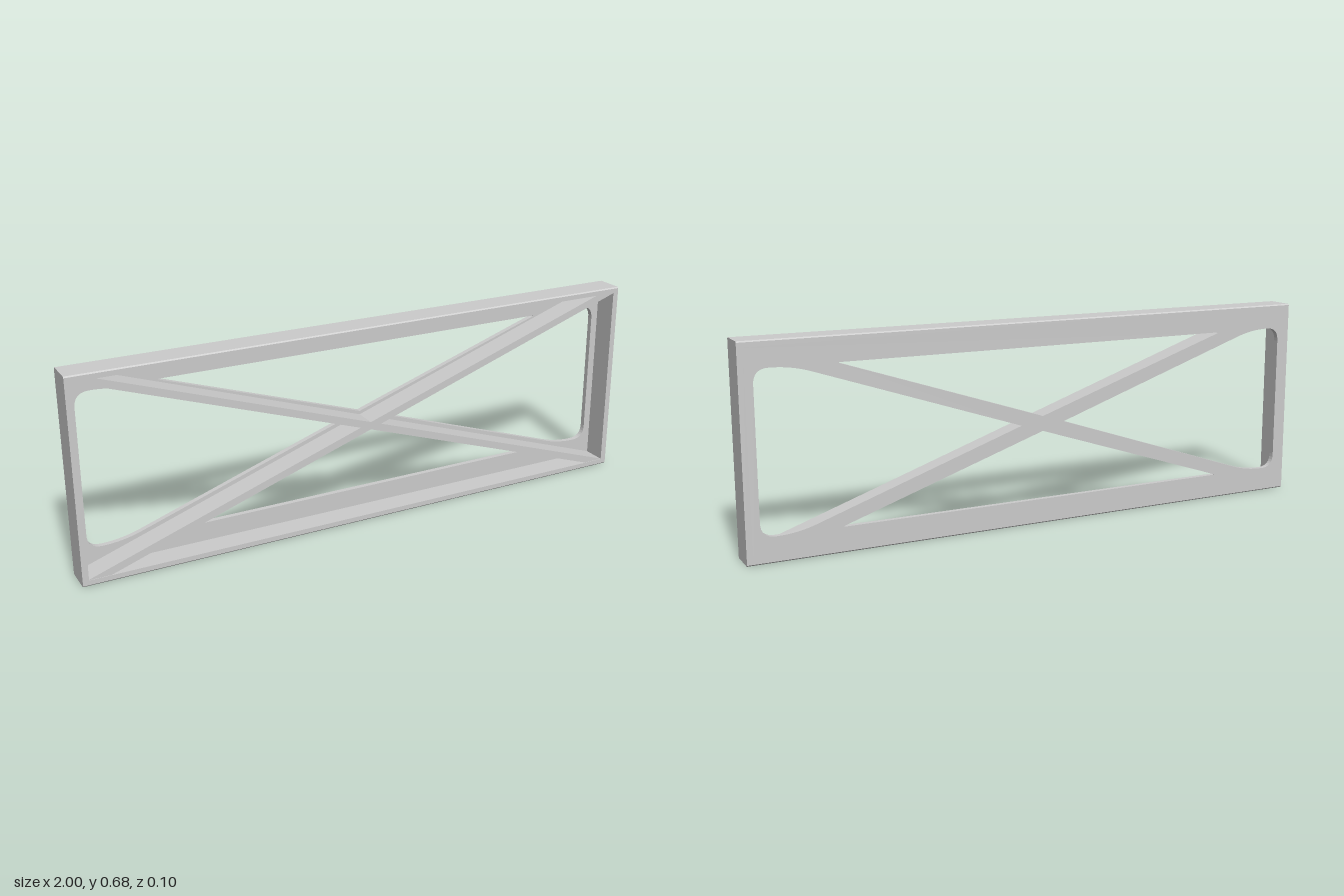
import * as THREE from 'three';

const W = 1, H = 0.683, D = 0.05;      // half width, height, half depth
const RIM = 0.02, PLATE = 0.018;       // rim and back plate thickness
const CY = H / 2;
const material = new THREE.MeshStandardMaterial({ color: 0xcccccc, flatShading: true });

// Closed outline with corners [x, y, trim], each softened by cutting "trim" off both edges
function roundedPath(points, PathType) {
  const path = new PathType();
  const n = points.length;
  const toward = (a, b, t) => {
    const l = Math.hypot(b[0] - a[0], b[1] - a[1]);
    return [a[0] + (b[0] - a[0]) * t / l, a[1] + (b[1] - a[1]) * t / l];
  };
  points.forEach((p, i) => {
    const a = toward(p, points[(i + n - 1) % n], p[2] || 0);
    const b = toward(p, points[(i + 1) % n], p[2] || 0);
    if (i === 0) path.moveTo(...a); else path.lineTo(...a);
    if (p[2]) path.quadraticCurveTo(p[0], p[1], ...b);
  });
  path.closePath();
  return path;
}

function extrude(shape, depth, name) {
  const geometry = new THREE.ExtrudeGeometry(shape, { depth, bevelEnabled: false, curveSegments: 8 });
  const mesh = new THREE.Mesh(geometry, material);
  mesh.name = name;
  return mesh;
}

export function createModel() {
  const group = new THREE.Group();
  group.name = 'bracedFrame';

  // Top and bottom rails, outer long edges slightly chamfered
  const c = 0.004;
  for (const s of [1, -1]) {
    const profile = roundedPath([
      [-D, -RIM / 2], [D, -RIM / 2], [D, RIM / 2 - c], [D - c, RIM / 2],
      [-D + c, RIM / 2], [-D, RIM / 2 - c]], THREE.Shape);
    const rail = extrude(profile, 2 * W, s > 0 ? 'topRail' : 'bottomRail');
    rail.geometry.translate(0, 0, -W).rotateY(Math.PI / 2);
    if (s < 0) rail.rotation.x = Math.PI;
    rail.position.y = CY + s * (CY - RIM / 2);
    group.add(rail);
  }

  // Side walls between the rails
  for (const s of [1, -1]) {
    const wall = new THREE.Mesh(new THREE.BoxGeometry(RIM, H - 2 * RIM, 2 * D), material);
    wall.name = s > 0 ? 'leftWall' : 'rightWall';
    wall.position.set(s * (W - RIM / 2), CY, 0);
    group.add(wall);
  }

  // Back plate with two slim triangular and two rounded end openings
  const ix = W - RIM, iy = CY - RIM;
  const plate = roundedPath([[-ix, -iy], [ix, -iy], [ix, iy], [-ix, iy]], THREE.Shape);
  const edge = 0.258;
  for (const s of [1, -1]) {
    plate.holes.push(roundedPath([
      [0, s * 0.025], [0.7, s * edge, 0.014], [-0.7, s * edge, 0.014]], THREE.Path));
    plate.holes.push(roundedPath([
      [s * 0.078, 0], [s * 0.84, edge, 0.065], [s * 0.955, edge, 0.048],
      [s * 0.955, -edge, 0.048], [s * 0.84, -edge, 0.065]], THREE.Path));
  }
  const back = extrude(plate, PLATE, 'backPlate');
  back.position.set(0, CY, -D);
  group.add(back);

  // Crossed upright ribs, ends mitred into the inner corners of the rim
  const t = 0.013, slope = 0.34;
  const cut = (iy - t) / slope, side = slope * ix - t;
  for (const s of [1, -1]) {
    const corners = [[ix, iy], [cut, iy], [-ix, -side], [-ix, -iy], [-cut, -iy], [ix, side]];
    const shape = roundedPath(corners.map(([x, y]) => [x, s * y]), THREE.Shape);
    const rib = extrude(shape, 2 * D - PLATE - 0.002, s > 0 ? 'risingRib' : 'fallingRib');
    rib.position.set(0, CY, -D + PLATE);
    group.add(rib);
  }

  return group;
}
